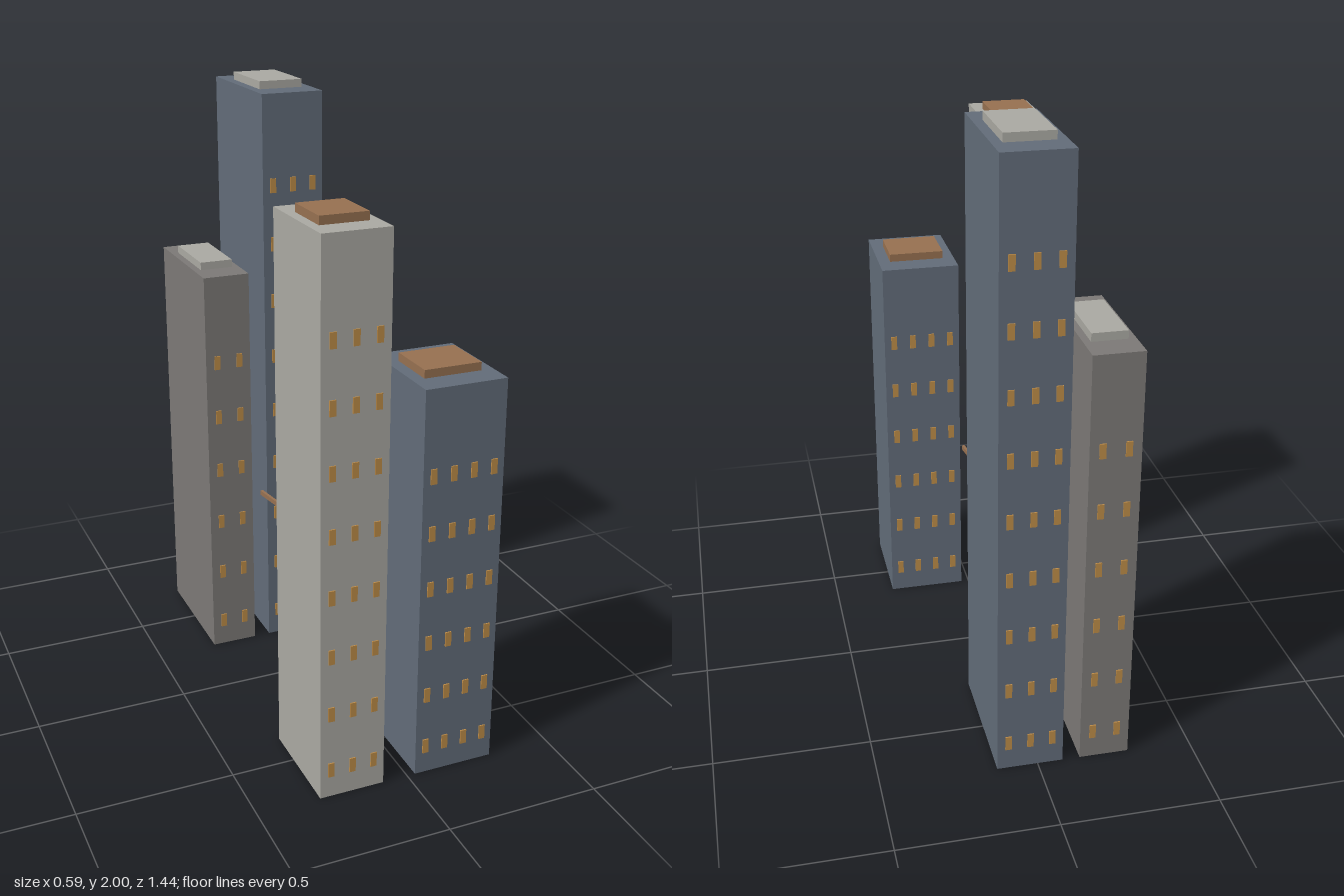
import * as THREE from 'three';

const paint = (name, color) => {
  const m = new THREE.MeshStandardMaterial({ color });
  m.name = name;
  return m;
};

export function createModel() {
  const slate = paint('slate', 0x626c79);
  const paleStone = paint('pale stone', 0xaaa9a2);
  const darkStone = paint('dark stone', 0x7c7976);
  const copper = paint('copper', 0x967050);
  const amber = paint('amber window', 0xbd8c48);

  const model = new THREE.Group();
  model.name = 'towerCluster';

  // Box given by its minimum and maximum corners
  function box(parent, name, material, x0, x1, y0, y1, z0, z1) {
    const mesh = new THREE.Mesh(new THREE.BoxGeometry(x1 - x0, y1 - y0, z1 - z0), material);
    mesh.position.set((x0 + x1) / 2, (y0 + y1) / 2, (z0 + z1) / 2);
    mesh.name = name;
    parent.add(mesh);
    return mesh;
  }

  // Tower with a roof slab and a window grid on its front and back walls
  function tower({ name, wall, cap, x, z, height, roofX, roofZ, rows, columns }) {
    const group = new THREE.Group();
    group.name = name;
    box(group, 'walls', wall, x[0], x[1], 0, height, z[0], z[1]);
    box(group, 'roofSlab', cap, roofX[0], roofX[1], height, height + 0.026, roofZ[0], roofZ[1]);
    const cell = (x[1] - x[0]) / columns;
    const storey = height / (rows + 1);
    for (const wallZ of z) {
      for (let r = 0; r < rows; r++) {
        for (let c = 0; c < columns; c++) {
          const cx = x[0] + (c + 0.5) * cell;
          const cy = 0.095 + r * storey;
          box(group, 'window', amber, cx - 0.01, cx + 0.01, cy - 0.024, cy + 0.024, wallZ - 0.004, wallZ + 0.004);
        }
      }
    }
    model.add(group);
  }

  const frontZ = [0.374, 0.716], backZ = [-0.716, -0.27];
  const frontRoofZ = [0.46, 0.63], backRoofZ = [-0.62, -0.37];
  tower({ name: 'frontRightTower', wall: paleStone, cap: copper, x: [-0.295, -0.083], z: frontZ,
    height: 1.763, roofX: [-0.264, -0.114], roofZ: frontRoofZ, rows: 8, columns: 3 });
  tower({ name: 'frontLeftTower', wall: slate, cap: copper, x: [0.027, 0.292], z: frontZ,
    height: 1.282, roofX: [0.066, 0.252], roofZ: frontRoofZ, rows: 6, columns: 4 });
  tower({ name: 'backLeftTower', wall: slate, cap: paleStone, x: [-0.081, 0.13], z: backZ,
    height: 1.974, roofX: [-0.05, 0.099], roofZ: backRoofZ, rows: 9, columns: 3 });
  tower({ name: 'backRightTower', wall: darkStone, cap: paleStone, x: [-0.295, -0.137], z: backZ,
    height: 1.385, roofX: [-0.271, -0.16], roofZ: backRoofZ, rows: 6, columns: 2 });

  // Slim bridge running diagonally between the front and back towers
  const start = new THREE.Vector3(-0.093, 0.564, -0.295);
  const end = new THREE.Vector3(0.011, 0.564, 0.395);
  const length = start.distanceTo(end);
  const bridge = box(model, 'skyBridge', copper, -0.005, 0.005, -0.008, 0.008, -length / 2, length / 2);
  bridge.position.copy(start).lerp(end, 0.5);
  bridge.rotation.y = Math.atan2(end.x - start.x, end.z - start.z);

  return model;
}
